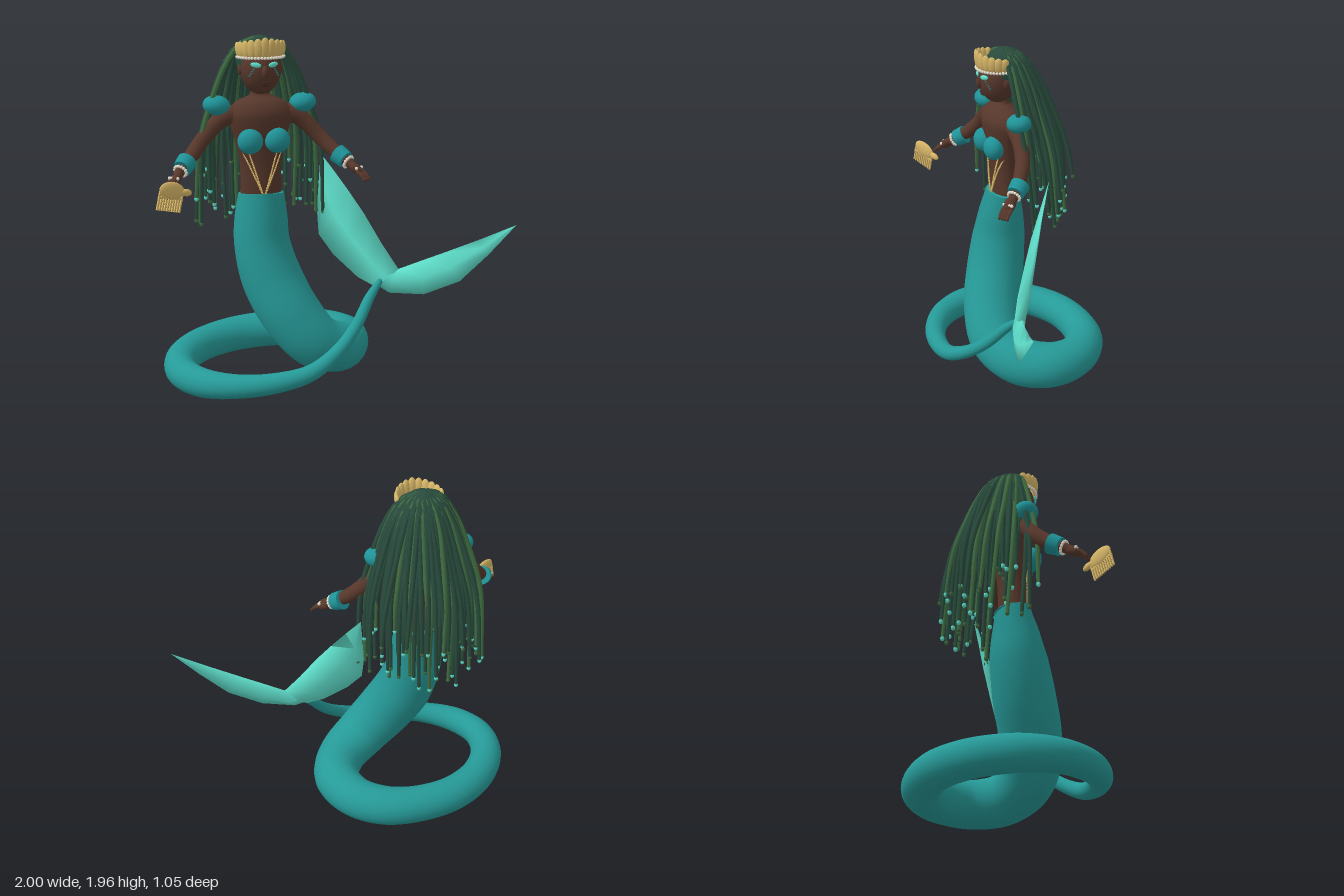
import * as THREE from 'three';

const V = (x, y, z) => new THREE.Vector3(x, y, z);
const CX = -0.37; // middle of the upper body

export function createModel() {
  const root = new THREE.Group();
  root.name = 'mermaid';
  const mat = (name, color) => new THREE.MeshStandardMaterial({ name, color });
  const skin = mat('brown skin', 0x57372b);
  const lips = mat('dark lips', 0x44271f);
  const teal = mat('teal scales', 0x269a98);
  const shell = mat('shell teal', 0x1f9398);
  const aqua = mat('aqua', 0x5fdfcb);
  const hair = mat('dark green hair', 0x284a3c);
  const moss = mat('moss green hair', 0x3f6c40);
  const gold = mat('gold', 0xd8b768);
  const pearl = mat('pearl', 0xe6dfd0);

  const add = (name, geo, material, parent = root) => {
    const m = new THREE.Mesh(geo, material);
    m.name = name;
    parent.add(m);
    return m;
  };
  const group = (name) => {
    const g = new THREE.Group();
    g.name = name;
    root.add(g);
    return g;
  };
  const ball = (name, material, p, rx, ry = rx, rz = rx, parent = root, n = 20) => {
    const m = add(name, new THREE.SphereGeometry(1, n, Math.ceil(n * 0.7)), material, parent);
    m.position.set(...p);
    m.scale.set(rx, ry, rz);
    return m;
  };
  // Tube whose radius follows the fourth number of each point
  const sweep = (pts, segs, sides) => {
    const curve = new THREE.CatmullRomCurve3(pts.map((p) => V(p[0], p[1], p[2])));
    const radii = new THREE.CatmullRomCurve3(pts.map((p, i) => V(p[3], i * 0.1, 0)));
    const geo = new THREE.TubeGeometry(curve, segs, 1, sides);
    const pos = geo.attributes.position;
    const v = V();
    for (let i = 0; i <= segs; i++) {
      const c = curve.getPointAt(i / segs);
      const r = radii.getPoint(curve.getUtoTmapping(i / segs)).x;
      for (let j = 0; j <= sides; j++) {
        const k = i * (sides + 1) + j;
        v.fromBufferAttribute(pos, k).sub(c).multiplyScalar(r).add(c);
        pos.setXYZ(k, v.x, v.y, v.z);
      }
    }
    return geo;
  };

  // Coiled tail, from waist to fin
  const tail = sweep([
    [-0.37, 1.08, 0.025, 0.13], [-0.375, 0.95, 0.04, 0.15], [-0.375, 0.8, 0.055, 0.158],
    [-0.33, 0.6, 0.1, 0.172], [-0.235, 0.4, 0.165, 0.17], [-0.1, 0.235, 0.19, 0.158],
    [0.06, 0.155, 0.11, 0.145], [0.15, 0.135, -0.06, 0.135], [0.1, 0.125, -0.25, 0.122],
    [-0.04, 0.118, -0.37, 0.115], [-0.22, 0.112, -0.415, 0.108], [-0.46, 0.106, -0.395, 0.104],
    [-0.68, 0.1, -0.28, 0.1], [-0.825, 0.095, -0.09, 0.095], [-0.852, 0.09, 0.11, 0.087],
    [-0.765, 0.087, 0.285, 0.08], [-0.6, 0.096, 0.405, 0.066], [-0.4, 0.115, 0.462, 0.056],
    [-0.2, 0.155, 0.465, 0.046], [-0.03, 0.245, 0.41, 0.038], [0.1, 0.36, 0.335, 0.033],
    [0.2, 0.49, 0.26, 0.028], [0.28, 0.575, 0.215, 0.015]], 150, 24);
  const tp = tail.attributes.position;
  for (let i = 0; i < tp.count; i++) { // flatten towards the waist
    const k = Math.min(1, Math.max(0, (tp.getY(i) - 0.8) / 0.25));
    tp.setZ(i, tp.getZ(i) + (0.025 - tp.getZ(i)) * 0.25 * k);
  }
  add('tail', tail, teal);
  ball('waistTop', teal, [CX, 1.08, 0.025], 0.13, 0.012, 0.1);

  // Tail fin: smooth diamond cross-sections lofted along each lobe, on a tilted plane
  const finPoint = (x, y, off) => [x - 0.41 * off, y + 0.24 * off, 0.22 + 0.451 * (x - 0.3) - 0.266 * (y - 0.56) + 0.88 * off];
  const lobe = (name, stations) => {
    const verts = [];
    const index = [];
    stations.forEach(([ax, ay, bx, by, t], k) => {
      const [mx, my] = [(ax + bx) / 2, (ay + by) / 2];
      verts.push(...finPoint(ax, ay, 0), ...finPoint(mx, my, t), ...finPoint(bx, by, 0), ...finPoint(mx, my, -t));
      for (let j = 0; j < 4 && k > 0; j++) {
        const [d, c] = [k * 4 + j, k * 4 + ((j + 1) % 4)];
        index.push(d - 4, c - 4, c, d - 4, c, d);
      }
    });
    const geo = new THREE.BufferGeometry();
    geo.setAttribute('position', new THREE.Float32BufferAttribute(verts, 3));
    geo.setIndex(index);
    geo.computeVertexNormals();
    add(name, geo, aqua);
  };
  lobe('innerFinLobe', [[0.25, 0.53, 0.38, 0.63, 0.03], [0.16, 0.58, 0.3, 0.77, 0.036],
    [0.04, 0.7, 0.22, 0.93, 0.03], [-0.03, 0.81, 0.15, 1.05, 0.024],
    [-0.03, 0.95, 0.08, 1.16, 0.014], [0.01, 1.26, 0.012, 1.262, 0.001]]);
  lobe('outerFinLobe', [[0.36, 0.63, 0.23, 0.56, 0.03], [0.38, 0.635, 0.32, 0.5, 0.036],
    [0.5, 0.685, 0.5, 0.5, 0.034], [0.61, 0.73, 0.69, 0.58, 0.026],
    [0.8, 0.81, 0.85, 0.735, 0.014], [1.0, 0.9, 0.999, 0.898, 0.001]]);

  // Torso and neck
  const profile = [[0.118, 1.04], [0.116, 1.2], [0.125, 1.3], [0.148, 1.4], [0.172, 1.48],
    [0.178, 1.54], [0.14, 1.595], [0.075, 1.625], [0.052, 1.65], [0.05, 1.74]];
  const curve = new THREE.SplineCurve(profile.map(([r, y]) => new THREE.Vector2(r, y)));
  const torso = add('torso', new THREE.LatheGeometry(curve.getPoints(30), 32), skin);
  torso.position.set(CX, 0, 0.023);
  torso.scale.z = 0.64;

  // Belly chains in a double V lying on the torso
  const chains = group('bellyChains');
  for (const s of [-1, 1]) {
    for (const shift of [0, 0.03]) {
      for (let i = 0; i <= 26; i++) {
        const t = i / 26;
        const dx = s * (0.108 - shift - t * (0.1 - shift));
        const z = 0.026 + 0.64 * Math.sqrt(0.121 ** 2 - dx * dx);
        ball('chainBead', gold, [CX + dx, 1.32 - 0.23 * t, z], 0.0055, 0.0055, 0.0055, chains, 6);
      }
    }
  }

  // Head and face
  ball('head', skin, [CX, 1.78, 0.05], 0.113, 0.14, 0.112, root, 28);
  ball('nose', skin, [CX, 1.77, 0.16], 0.017, 0.034, 0.022);
  ball('upperLip', lips, [CX, 1.711, 0.147], 0.027, 0.007, 0.01);
  ball('lowerLip', lips, [CX, 1.699, 0.143], 0.022, 0.007, 0.011);
  for (const s of [-1, 1]) {
    const eye = ball('eye', aqua, [CX + s * 0.048, 1.809, 0.151], 0.03, 0.0145, 0.01);
    eye.rotation.set(0, s * 0.4, s * 0.15);
    ball('ear', skin, [CX + s * 0.112, 1.775, 0.04], 0.014, 0.03, 0.02);
    for (let i = 0; i < 4; i++) {
      ball('cheekDot', shell, [CX + s * (0.058 + 0.007 * i), 1.785 - 0.012 * i, 0.145 - 0.005 * i], 0.005, 0.005, 0.005, root, 6);
    }
  }

  // Crown of overlapping shell petals over a row of pearls
  const crown = group('crown');
  for (let i = 0; i < 11; i++) {
    const a = (i / 10 - 0.5) * 2.9;
    const h = 0.06 - 0.012 * Math.abs(a);
    const petal = ball('crownPetal', gold, [CX + 0.125 * Math.sin(a), 1.852 + h * 0.75, 0.04 + 0.125 * Math.cos(a)], 0.027, h, 0.015, crown, 14);
    petal.rotation.set(0.12, a, 0, 'YXZ');
  }
  for (let i = 0; i < 23; i++) {
    const a = (i / 22 - 0.5) * 3;
    ball('crownPearl', pearl, [CX + 0.13 * Math.sin(a), 1.845, 0.04 + 0.13 * Math.cos(a)], 0.009, 0.009, 0.009, crown, 8);
  }

  // Hair: cap plus long locks fanning over the back and sides, beaded at the ends
  ball('hairCap', hair, [CX, 1.822, 0.005], 0.125, 0.135, 0.125, root, 28);
  let seed = 7;
  const rnd = () => (seed = (seed * 16807) % 2147483647) / 2147483647;
  const locks = group('locks');
  const count = 68;
  for (let i = 0; i < count; i++) {
    const a = -0.15 + (Math.PI + 0.3) * ((i + rnd() * 0.9) / count);
    const R = 0.25 + 0.13 * rnd() - 0.06 * Math.sin(a) * rnd();
    const end = 0.86 + 0.36 * rnd();
    const at = (r, y, w = 0) => [CX + r * Math.cos(a + w), y, 0.025 - r * Math.sin(a + w) - 0.07 * (1.94 - y)];
    const w = (rnd() - 0.5) * 0.3;
    const tip = at(R, end, w);
    add('lock', sweep([
      [...at(0.03, 1.942), 0.013], [...at(0.115, 1.905), 0.014],
      [...at(0.13 + R * 0.17, 1.8), 0.014], [...at(0.11 + R * 0.43, 1.62, w * 0.3), 0.014],
      [...at(0.08 + R * 0.71, 1.38, w * 0.7), 0.013], [...tip, 0.01]], 16, 7),
    i % 5 === 2 ? moss : hair, locks);
    ball('lockBead', i % 2 ? aqua : moss, tip, 0.012, 0.015, 0.012, locks, 8);
  }

  // Arms, hands, shoulder and chest shells, bracelets
  for (const s of [-1, 1]) {
    const arm = group(s > 0 ? 'leftArm' : 'rightArm');
    const X = (d) => CX + s * d;
    add('arm', sweep([[X(0.1), 1.535, 0.022, 0.055], [X(0.19), 1.52, 0.022, 0.052], [X(0.26), 1.47, 0.025, 0.046],
      [X(0.335), 1.39, 0.045, 0.043], [X(0.4), 1.32, 0.09, 0.04], [X(0.46), 1.265, 0.145, 0.03],
      [X(0.49), 1.235, 0.18, 0.026]], 40, 16), skin, arm);
    const dir = V(s * 0.08, -0.07, 0.1).normalize();
    const side = V(s * 0.6, 0, -0.48).normalize();
    const wrist = V(X(0.455), 1.268, 0.138);
    const turn = new THREE.Quaternion().setFromUnitVectors(V(0, 1, 0), dir);
    const palm = ball('palm', skin, [X(0.5), 1.225, 0.195], 0.034, 0.05, 0.026, arm);
    palm.quaternion.copy(turn);
    for (let f = 0; f < 4; f++) {
      const k = (f - 1.5) * 0.016;
      const base = V(X(0.515), 1.212, 0.212).addScaledVector(side, k);
      const mid = base.clone().addScaledVector(dir, 0.035);
      const tip = mid.clone().addScaledVector(dir, 0.025).add(V(0, -0.012, 0));
      add('finger', sweep([[...base, 0.011], [...mid, 0.011], [...tip, 0.009]], 8, 8), skin, arm);
      ball('fingertip', skin, [...tip], 0.0095, 0.0095, 0.0095, arm, 8);
      ball('ringPearl', pearl, [base.x, base.y + 0.018, base.z], 0.01, 0.01, 0.01, arm, 8);
    }
    const cuff = add('bracelet', new THREE.CylinderGeometry(0.05, 0.056, 0.066, 20), shell, arm);
    cuff.position.copy(wrist).addScaledVector(dir, -0.027);
    cuff.quaternion.copy(turn);
    for (let i = 0; i < 14; i++) {
      const a = (i / 14) * Math.PI * 2;
      const p = V(0.034 * Math.cos(a), 0.026, 0.034 * Math.sin(a)).applyQuaternion(turn).add(wrist);
      ball('braceletPearl', pearl, [...p], 0.009, 0.009, 0.009, arm, 8);
    }
    const pad = ball('shoulderShell', shell, [X(0.243), 1.583, 0.025], 0.076, 0.055, 0.07, arm);
    pad.rotation.z = s * 0.12;
    ball('chestShell', shell, [X(0.076), 1.39, 0.112], 0.071, 0.07, 0.058, root, 24);
  }

  // Comb held in the right hand
  const comb = group('comb');
  comb.position.set(-0.912, 1.19, 0.325);
  comb.rotation.set(0, 0.42, -0.25, 'YXZ');
  ball('combBack', gold, [0, 0, 0], 0.078, 0.047, 0.016, comb);
  ball('combHandle', gold, [0.09, 0, 0], 0.035, 0.02, 0.014, comb);
  for (let i = 0; i < 10; i++) {
    const tooth = add('combTooth', new THREE.BoxGeometry(0.008, 0.1, 0.01), gold, comb);
    tooth.position.set(-0.07 + i * 0.0155, -0.06, 0);
  }
  const bar = add('combBar', new THREE.BoxGeometry(0.15, 0.01, 0.012), gold, comb);
  bar.position.y = -0.04;
  return root;
}
